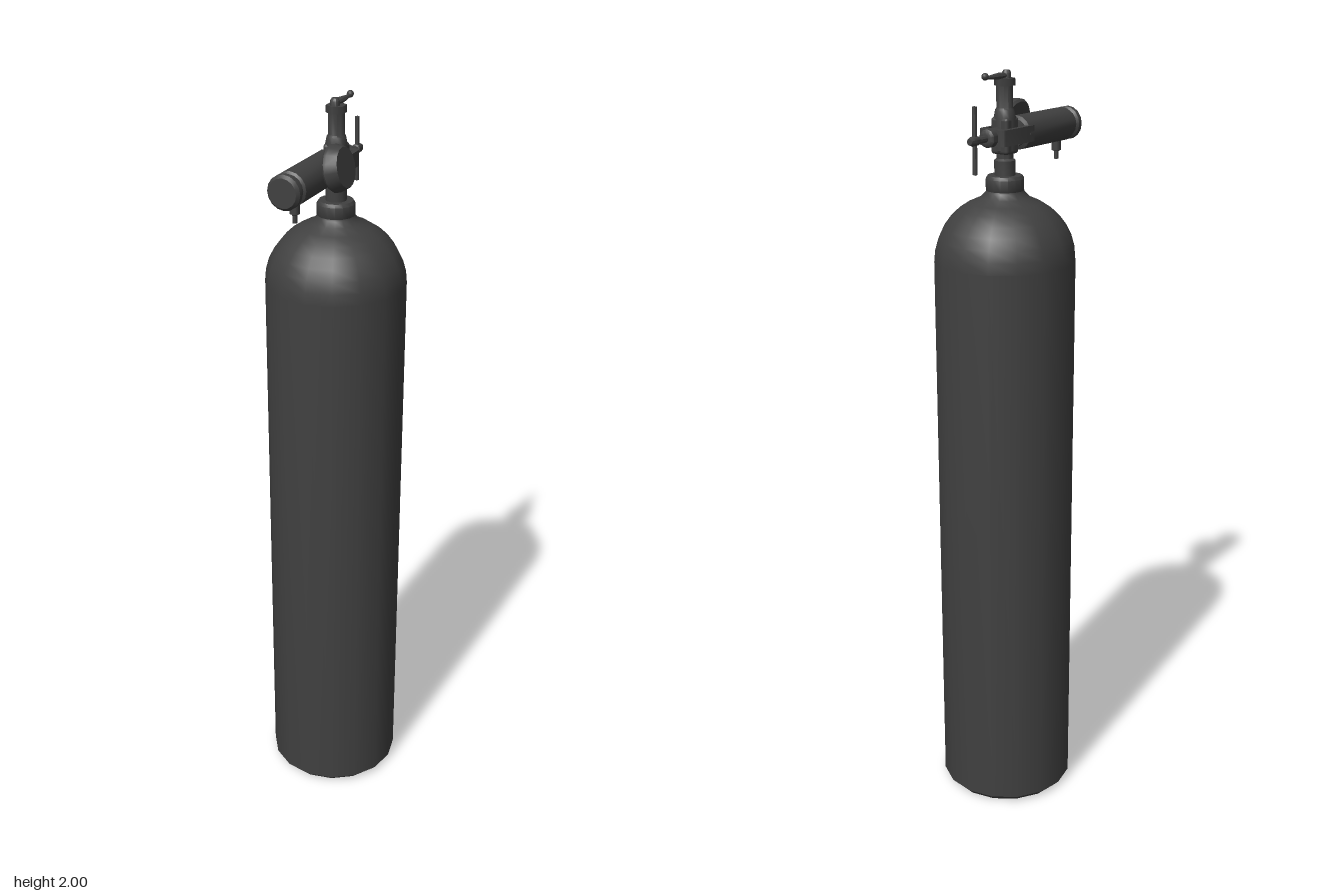
import * as THREE from 'three';
import { toCreasedNormals } from 'three/addons/utils/BufferGeometryUtils.js';
import { RoundedBoxGeometry } from 'three/addons/geometries/RoundedBoxGeometry.js';

const AXIS_Z = -0.057; // tank axis
const VALVE_Y = 1.843; // height of the horizontal fittings

export function createModel() {
  const model = new THREE.Group();
  const material = new THREE.MeshStandardMaterial({ color: 0x404040 });

  function add(name, geometry, x = 0, y = 0, z = 0, parent = model) {
    const mesh = new THREE.Mesh(geometry, material);
    mesh.name = name;
    mesh.position.set(x, y, z);
    parent.add(mesh);
    return mesh;
  }
  // Turned part from [radius, height] pairs, bottom to top
  function turned(profile, sides = 12) {
    const points = profile.map(([r, h]) => new THREE.Vector2(r, h));
    return toCreasedNormals(new THREE.LatheGeometry(points, sides), 0.65);
  }

  // Tank with chamfered foot, domed shoulder and neck collar
  const tank = [[0, 0], [0.168, 0], [0.183, 0.016]];
  for (let i = 0; i <= 7; i++) {
    const a = (i / 7) * 1.22;
    tank.push([0.183 * Math.cos(a), 1.53 + 0.17 * Math.sin(a)]);
  }
  tank.push([0.05, 1.703], [0.048, 1.71]);
  add('tank', turned(tank, 16), 0, 0, AXIS_Z);
  add('neckCollar', turned([[0.045, 1.7], [0.049, 1.708], [0.049, 1.737], [0.044, 1.745], [0, 1.745]], 16), 0, 0, AXIS_Z);

  // Vertical valve post with stepped rings
  add('valvePost', turned([
    [0.027, 1.74], [0.027, 1.782], [0.021, 1.787], [0.021, 1.8], [0.028, 1.806],
    [0.028, 1.885], [0.024, 1.905], [0.021, 1.91], [0.021, 1.965], [0, 1.965],
  ]), 0, 0, AXIS_Z);
  add('valveBlock', new RoundedBoxGeometry(0.052, 0.09, 0.052, 2, 0.008), 0, VALVE_Y, AXIS_Z);
  add('topNut', new THREE.CylinderGeometry(0.026, 0.026, 0.018, 6), 0, 1.972, AXIS_Z);

  // Lever on top, with a hub and a ball tip
  const lever = new THREE.Group();
  lever.name = 'topLever';
  model.add(lever);
  add('leverHub', turned([[0.012, 1.975], [0.012, 1.993], [0.008, 1.999], [0, 2]], 10), 0, 0, AXIS_Z + 0.008, lever);
  const arm = add('leverArm', turned([[0.008, 0], [0.011, 0.025], [0.006, 0.065], [0.006, 0.085]], 8), 0, 1.987, AXIS_Z, lever);
  arm.rotation.x = -Math.PI / 2;
  arm.scale.z = 0.75;
  add('leverTip', new THREE.SphereGeometry(0.009, 10, 8), 0, 1.99, -0.137, lever);

  // Yoke frame looping around the valve post
  const frame = new THREE.Shape();
  frame.moveTo(-0.04, -0.015);
  frame.lineTo(-0.04, 0.1);
  frame.quadraticCurveTo(-0.04, 0.115, -0.025, 0.115);
  frame.lineTo(0.025, 0.115);
  frame.quadraticCurveTo(0.04, 0.115, 0.04, 0.1);
  frame.lineTo(0.04, -0.015);
  frame.closePath();
  const opening = new THREE.Path();
  opening.moveTo(-0.028, 0.018);
  opening.lineTo(0.028, 0.018);
  opening.lineTo(0.028, 0.095);
  opening.lineTo(-0.028, 0.095);
  opening.closePath();
  frame.holes.push(opening);
  const yokeGeometry = new THREE.ExtrudeGeometry(frame, { depth: 0.04, bevelEnabled: false, curveSegments: 4 });
  yokeGeometry.rotateX(-Math.PI / 2);
  add('yoke', toCreasedNormals(yokeGeometry, 0.65), 0, VALVE_Y - 0.02, 0);

  // Clamp screw behind the yoke, with an upright turning bar
  add('clampScrew', turned([
    [0.023, 0.09], [0.023, 0.132], [0.017, 0.137], [0.009, 0.138], [0.009, 0.17],
    [0.012, 0.173], [0.012, 0.192], [0.008, 0.202], [0, 0.204],
  ], 10), 0, VALVE_Y, 0).rotation.x = -Math.PI / 2;
  add('clampBar', turned([[0, -0.083], [0.006, -0.081], [0.006, 0.081], [0, 0.083]], 8), 0, VALVE_Y, -0.181);

  // Horizontal regulator barrel with a grooved end cap
  add('regulatorBarrel', turned([
    [0, -0.018], [0.034, -0.018], [0.034, -0.008], [0.043, -0.004], [0.043, 0.2], [0.037, 0.204],
    [0.037, 0.214], [0.043, 0.219], [0.043, 0.231], [0.036, 0.239], [0, 0.239],
  ], 16), 0.002, VALVE_Y, 0).rotation.x = Math.PI / 2;

  // Outlet pin under the barrel
  add('outletPin', turned([
    [0, 1.755], [0.006, 1.755], [0.006, 1.775], [0.013, 1.778], [0.013, 1.81],
  ], 10), 0.002, 0, 0.176);

  // Pressure gauge on the left side, tilted upward
  const gauge = new THREE.Group();
  gauge.name = 'pressureGauge';
  gauge.position.set(0.046, 1.86, 0.06);
  gauge.rotation.z = -Math.PI / 2 + 0.22;
  model.add(gauge);
  add('gaugeStem', new THREE.CylinderGeometry(0.014, 0.014, 0.04, 10), 0, -0.015, 0, gauge);
  add('gaugeCase', turned([
    [0, -0.002], [0.053, -0.002], [0.058, 0.004], [0.058, 0.012], [0.049, 0.036], [0, 0.036],
  ], 16), 0, 0, 0, gauge);

  return model;
}
